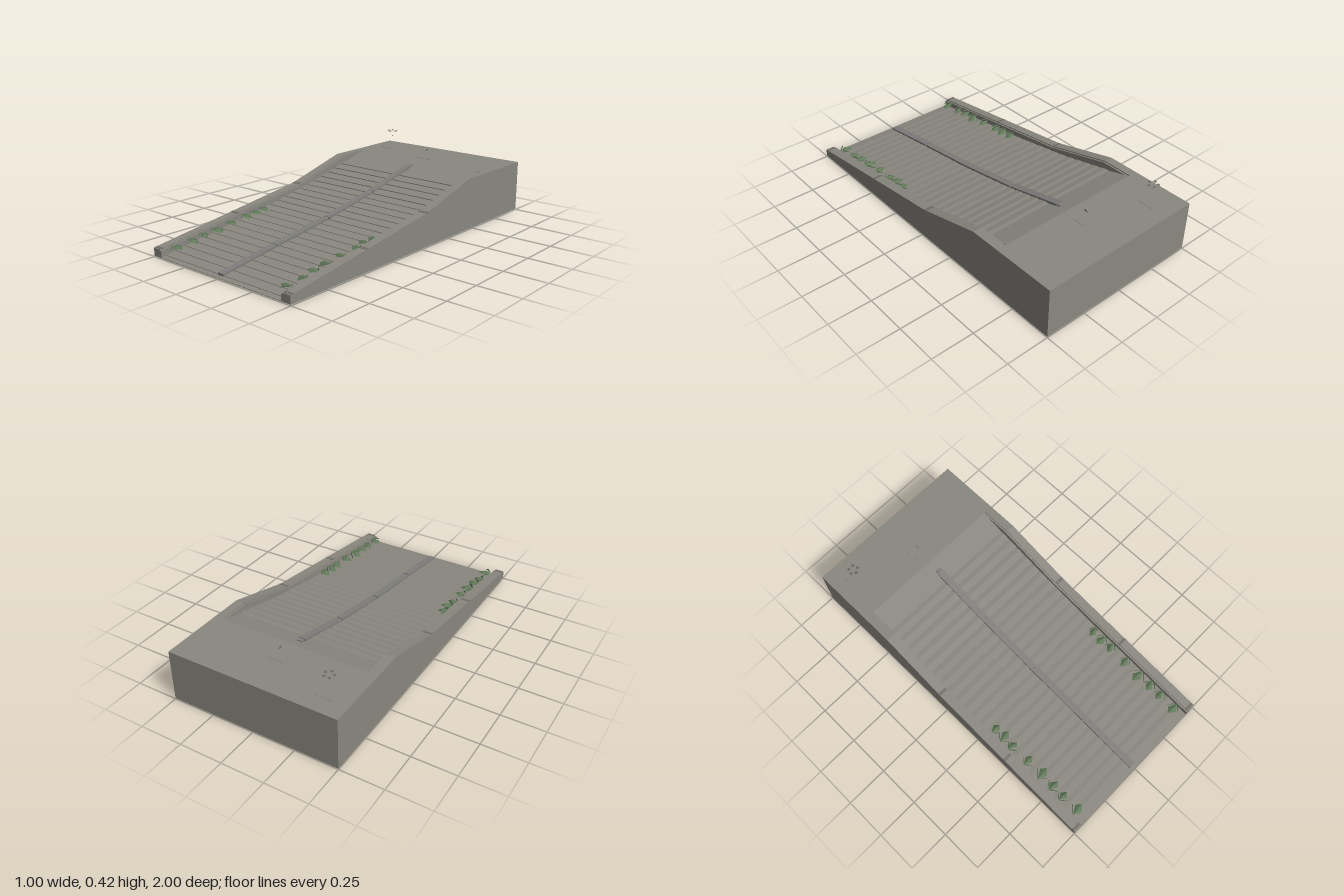
import * as THREE from 'three';

const mat = (name, color, side = THREE.FrontSide) => {
  const m = new THREE.MeshStandardMaterial({ color, side });
  m.name = name;
  return m;
};

// height along a polyline of [z, y] points running from front to back
function heightAt(path, z) {
  for (let i = 0; i < path.length - 1; i++) {
    const [z0, y0] = path[i], [z1, y1] = path[i + 1];
    if (z <= z0 && z >= z1) return y0 + ((y1 - y0) * (z0 - z)) / (z0 - z1);
  }
  return z > path[0][0] ? path[0][1] : path[path.length - 1][1];
}

// extrude a [z, y] outline across the width from x0 to x1
function across(outline, x0, x1) {
  const shape = new THREE.Shape(outline.map(([z, y]) => new THREE.Vector2(-z, y)));
  const geo = new THREE.ExtrudeGeometry(shape, { depth: x1 - x0, bevelEnabled: false });
  return geo.rotateY(Math.PI / 2).translate(x0, 0, 0);
}

const STAIR = [[1, 0.003], [0.61, 0.06], [0.21, 0.115], [-0.18, 0.185], [-0.49, 0.26], [-0.63, 0.3]];
const WALL = [[1, 0.045], [0.9, 0.06], [-0.04, 0.19], [-0.45, 0.3], [-1, 0.3]];

export function createModel() {
  const group = new THREE.Group();
  const stone = mat('stone', 0x8a8880);
  const railStone = mat('railStone', 0x807f7c);
  const seamStone = mat('seamStone', 0x72716b);
  const green = mat('foliage', 0x607a58, THREE.DoubleSide);
  const ornament = mat('ornament', 0x6b6a66, THREE.DoubleSide);
  const add = (name, geo, material, parent = group) => {
    const m = new THREE.Mesh(geo, material);
    m.name = name;
    parent.add(m);
    return m;
  };

  // stairs: each step has a small lip, a sloping tread and a flat strip
  const pitch = 0.0635, steps = 23, outline = [[1, 0], [1, 0.003]];
  for (let i = steps; i > 0; i--) {
    const z0 = -0.49 + i * pitch, z1 = z0 - pitch;
    const y0 = heightAt(STAIR, z0), y1 = heightAt(STAIR, z1);
    outline.push([z0, y0], [z0, y0 + (y1 - y0) * 0.3], [z0 - 0.0385, y1], [z1 + 0.0001, y1]);
  }
  outline.push([-0.63, 0.3], [-1, 0.3], [-1, 0]);
  add('stairsAndLanding', across(outline, -0.44, 0.44), stone);

  // side walls with a low inner curb and seams on the coping
  for (const s of [-1, 1]) {
    const span = (a, b) => (s > 0 ? [a, b] : [-b, -a]);
    add('sideWall', across([[1, 0], ...WALL, [-1, 0]], ...span(0.45, 0.5)), stone);
    const curb = WALL.slice(0, 4).map(([z, y]) => [z, y - 0.006]);
    add('innerCurb', across([[1, 0], ...curb, [-0.63, 0.294], [-0.63, 0.3], [-1, 0.3], [-1, 0]],
      ...span(0.44, 0.45)), stone);
    for (const z of [0.985, 0.46, -0.045]) {
      const a = z + 0.009, b = z - 0.009;
      const ya = heightAt(WALL, a), yb = heightAt(WALL, b);
      add('copingSeam', across([[a, ya - 0.002], [a, ya + 0.0015], [b, yb + 0.0015], [b, yb - 0.002]],
        ...span(0.448, 0.499)), seamStone);
    }
  }

  // central divider in four lengths
  const rail = [[0.98, 0.02], [0.61, 0.075], [0.21, 0.13], [-0.18, 0.2], [-0.55, 0.29]];
  for (let i = 0; i < 4; i++) {
    const [za, ya] = rail[i], [zb, yb] = rail[i + 1];
    const a = za - 0.003, b = zb + 0.003;
    add('centralDivider', across([[a, ya - 0.025], [a, ya], [b, yb], [b, yb - 0.025]], -0.02, 0.02), railStone);
  }
  const foot = add('dividerEnd', new THREE.BoxGeometry(0.03, 0.015, 0.02), railStone);
  foot.position.set(0, 0.281, -0.56);

  // leafy clumps against both walls: folded leaves fanned from a root
  const clumps = [[0.93, 0.07, 0.035], [0.82, 0.06, 0.03], [0.74, 0.065, 0.03], [0.66, 0.075, 0.028],
    [0.55, 0.065, 0.025], [0.43, 0.06, 0.022], [0.37, 0.07, 0.02], [0.3, 0.06, 0.016]];
  const leaf = (s, z, angle, len, lift, tipDrop) => {
    const y = heightAt(STAIR, z) + lift;
    const dx = -Math.cos(angle), dz = Math.sin(angle);
    const p = (along, out, h) => [s * (0.438 + dx * along - dz * out), y + h, z + dz * along - dx * out];
    const root = p(0, 0, 0), tip = p(len, 0, -tipDrop), mid = p(len * 0.55, 0, 0.006);
    const l = p(len * 0.6, len * 0.33, -0.006), r = p(len * 0.6, -len * 0.33, -0.006);
    const geo = new THREE.BufferGeometry();
    const tris = [[root, mid, l], [mid, tip, l], [root, r, mid], [mid, r, tip]];
    geo.setAttribute('position', new THREE.Float32BufferAttribute(
      tris.flatMap((t) => (s > 0 ? t : [t[0], t[2], t[1]])).flat(), 3));
    geo.computeVertexNormals();
    return geo;
  };
  for (const s of [-1, 1]) {
    const plants = new THREE.Group();
    plants.name = s > 0 ? 'leftPlants' : 'rightPlants';
    group.add(plants);
    clumps.forEach(([z, len, lift], i) => {
      [-0.85, -0.1, 0.75].forEach((angle, k) => {
        const size = len * (k === 1 ? 1.1 : 0.85);
        add('leaf', leaf(s, z, angle + (i % 3) * 0.1, size, lift + k * 0.003, 0.008 + (i % 2) * 0.008), green, plants);
      });
    });
  }

  // thin paving plates on the landing
  for (const [x, z, d] of [[0, -0.74, 0.08], [-0.365, -0.855, 0.096]]) {
    const plate = add('pavingPlate', new THREE.BoxGeometry(0.1, 0.002, d), stone);
    plate.position.set(x, 0.3005, z);
  }

  // small ring of floating petals and two upright slivers over the plates
  for (let i = 0; i < 5; i++) {
    const a = (i / 5) * Math.PI * 2 + 0.3;
    const petal = add('floatingPetal', new THREE.ConeGeometry(0.011, 0.006, 4), ornament);
    petal.position.set(-0.365 + 0.026 * Math.cos(a), 0.411, -0.855 + 0.026 * Math.sin(a));
    petal.rotation.y = -a;
  }
  for (const [x, y, z, r] of [[0, 0.349, -0.735, 0.02], [-0.365, 0.375, -0.85, 0.008]]) {
    const sliver = add('uprightSliver', new THREE.CircleGeometry(r, 3, Math.PI / 2), ornament);
    sliver.scale.y = 0.4;
    sliver.rotation.y = Math.PI / 2;
    sliver.position.set(x, y, z);
  }
  return group;
}
